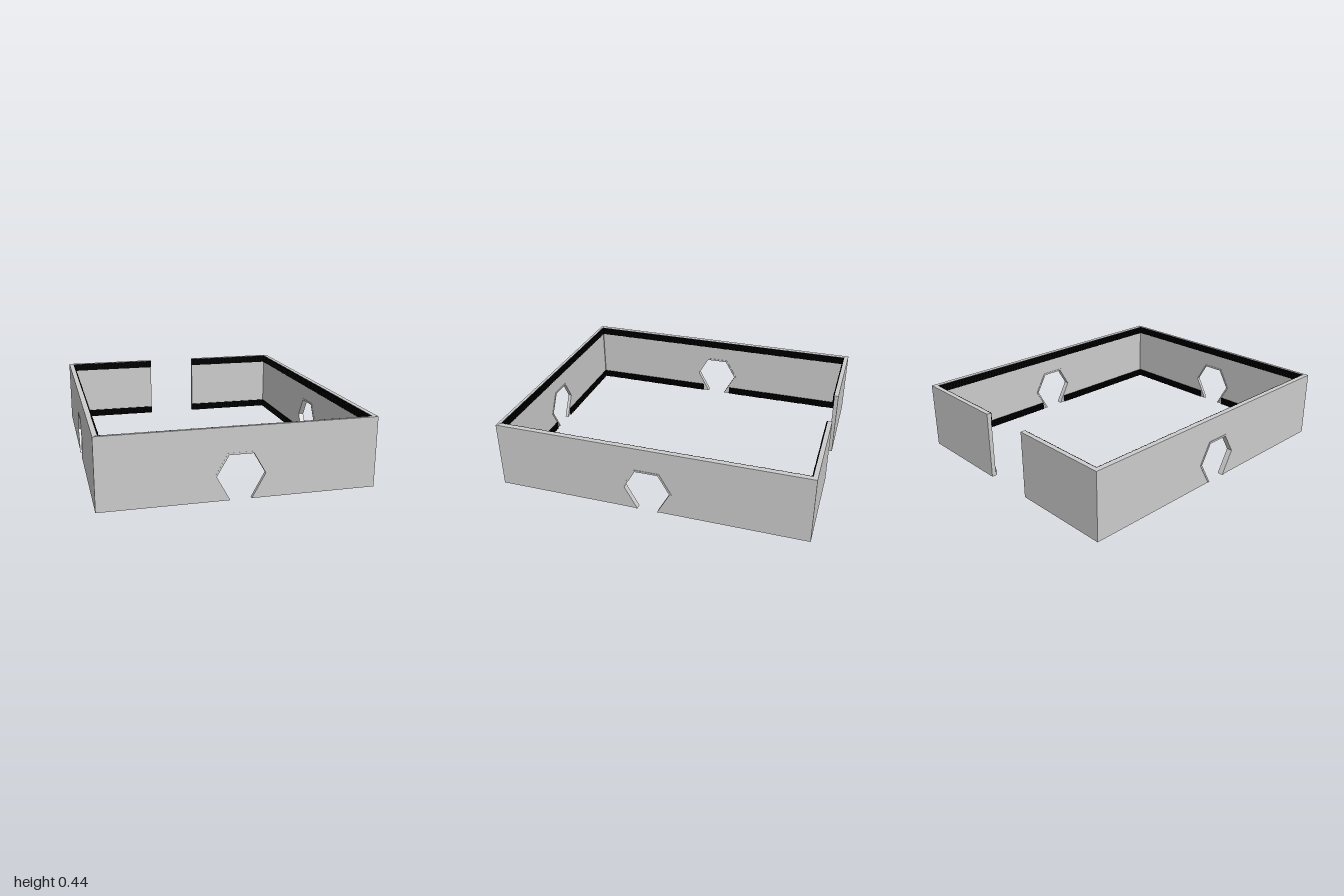
import * as THREE from 'three';

const H = 0.437;          // wall height
const HX = 0.832, HZ = 1; // half extents of the outer faces
const BAND = 0.05;        // height of the ribbed mouldings

function flatColour(name, color) {
  const material = new THREE.MeshStandardMaterial({ color });
  material.name = name;
  return material;
}
const wallGrey = flatColour('wallGrey', 0xcccccc);
const mouldingBlack = flatColour('mouldingBlack', 0x000000);

const shapeOf = (pts) => new THREE.Shape(pts.map(([x, y]) => new THREE.Vector2(x, y)));

function addMesh(group, name, geometry, material) {
  const mesh = new THREE.Mesh(geometry, material);
  mesh.name = name;
  group.add(mesh);
}

// Half-hexagon archway outline, open at the floor, from left foot to right foot
const arch = (c, grow = 0) => [
  [c - 0.064 - grow, 0], [c - 0.146 - grow * 1.1, 0.148], [c - 0.073 - grow * 0.6, 0.273 + grow],
  [c + 0.073 + grow * 0.6, 0.273 + grow], [c + 0.146 + grow * 1.1, 0.148], [c + 0.064 + grow, 0],
];

// Wall panel with its outer face on z = 0; ends that meet a corner are mitred
function panel(outline, depth, half, inset) {
  const geo = new THREE.ExtrudeGeometry(shapeOf(outline), { depth, bevelEnabled: false });
  geo.translate(0, 0, -depth);
  const p = geo.attributes.position;
  for (let i = 0; i < p.count; i++) {
    const x = p.getX(i);
    if (p.getZ(i) < -depth / 2 && Math.abs(x) > half - 1e-5) p.setX(i, Math.sign(x) * (half - inset));
  }
  geo.computeVertexNormals();
  return geo;
}

// Finely ribbed moulding along the inner face, from x0 to x1
function addMoulding(group, name, x0, x1, y, depth) {
  const n = Math.round((x1 - x0) / 0.024);
  const step = (x1 - x0) / n;
  const pts = [[x1, depth - 0.002], [x0, depth - 0.002]];
  for (let i = 0; i < n; i++) {
    pts.push([x0 + i * step, depth + 0.005], [x0 + (i + 0.5) * step, depth + 0.009]);
  }
  pts.push([x1, depth + 0.005]);
  const geo = new THREE.ExtrudeGeometry(shapeOf(pts), { depth: BAND, bevelEnabled: false });
  geo.rotateX(-Math.PI / 2).translate(0, y, 0);
  addMesh(group, name, geo, mouldingBlack);
}
const UPPER_Y = H - BAND - 0.002;

// Slim frame lining an archway
function archFrame(c, depth, proud) {
  const outline = [...arch(c, 0.012), ...arch(c).reverse()];
  const geo = new THREE.ExtrudeGeometry(shapeOf(outline), { depth: depth + 0.003 + proud, bevelEnabled: false });
  return geo.translate(0, 0, -depth - 0.003);
}

// One side of the enclosure, pierced by an archway
function archedWall(name, half, depth, inset, c, proud) {
  const g = new THREE.Group();
  g.name = name;
  const outline = [[-half, 0], ...arch(c), [half, 0], [half, H], [-half, H]];
  addMesh(g, 'wallPanel', panel(outline, depth, half, inset), wallGrey);
  addMesh(g, 'archFrame', archFrame(c, depth, proud), wallGrey);
  const end = half - inset;
  addMoulding(g, 'upperMoulding', -end, end, UPPER_Y, depth);
  addMoulding(g, 'lowerMoulding', -end, c - 0.105, 0, depth);
  addMoulding(g, 'lowerMoulding', c + 0.105, end, 0, depth);
  return g;
}

// Back side: two panels with a full-height gap between
function gappedWall(name, half, depth, inset, gap0, gap1) {
  const g = new THREE.Group();
  g.name = name;
  for (const [a, b] of [[-half, gap0], [gap1, half]]) {
    addMesh(g, 'wallPanel', panel([[a, 0], [b, 0], [b, H], [a, H]], depth, half, inset), wallGrey);
    const m0 = Math.max(a, -half + inset), m1 = Math.min(b, half - inset);
    addMoulding(g, 'upperMoulding', m0, m1, UPPER_Y, depth);
    addMoulding(g, 'lowerMoulding', m0, m1, 0, depth);
  }
  return g;
}

export function createModel() {
  const model = new THREE.Group();
  model.name = 'walledEnclosure';
  const side = 0.03, front = 0.019, back = 0.027;

  const frontWall = archedWall('frontWall', HX, front, side, 0, 0.0005);
  frontWall.position.z = HZ;
  model.add(frontWall);

  const backWall = gappedWall('backWall', HX, back, side, -0.17, 0.175);
  backWall.rotation.y = Math.PI;
  backWall.position.z = -HZ;
  model.add(backWall);

  for (const s of [1, -1]) {
    const name = s > 0 ? 'leftWall' : 'rightWall';
    const wall = archedWall(name, HZ, side, (front + back) / 2, -0.008 * s, 0.003);
    wall.rotation.y = s * Math.PI / 2;
    wall.position.x = s * HX;
    model.add(wall);
  }
  return model;
}
